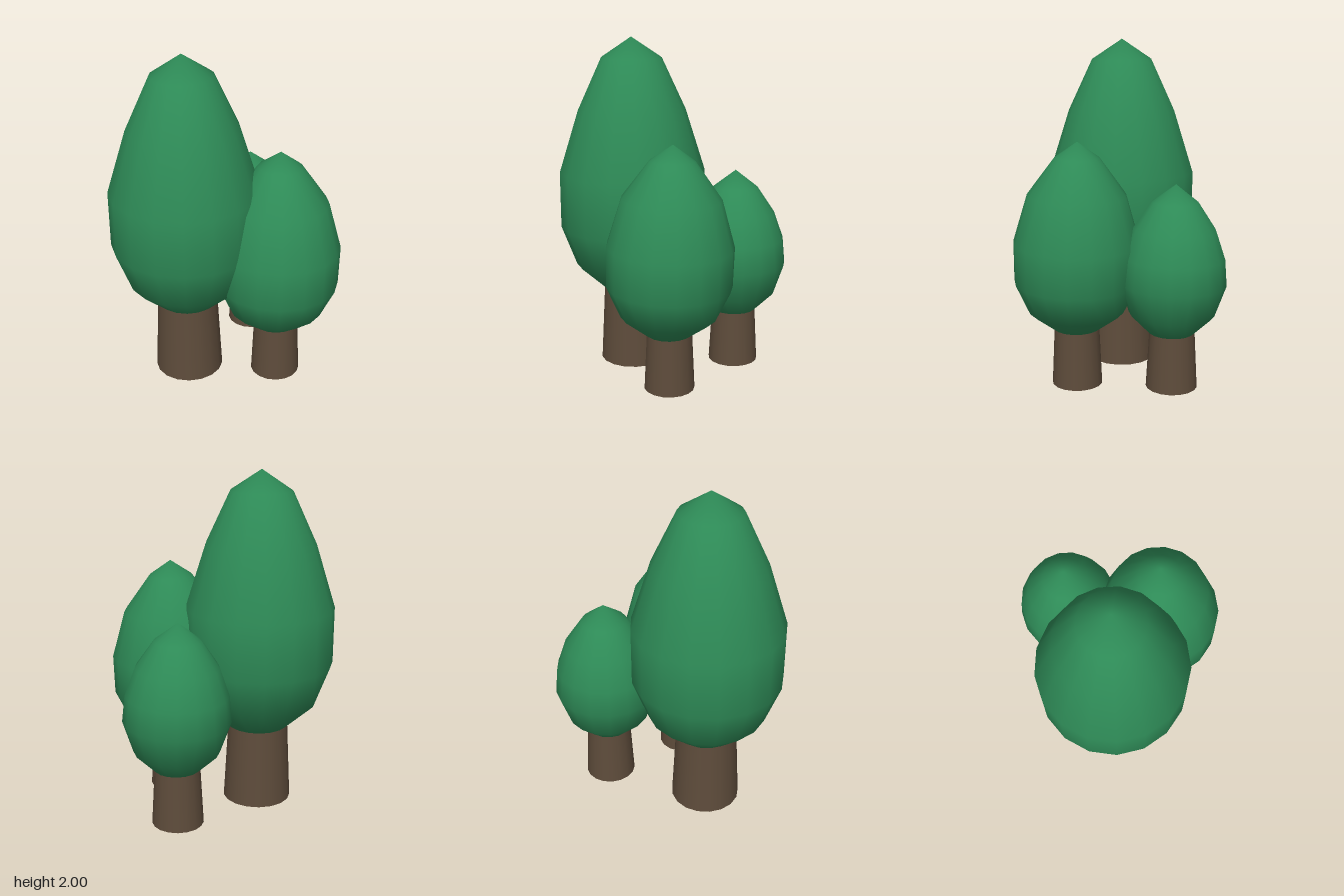
import * as THREE from 'three';

const SIDES = 17;

// Each tree: position, trunk size, crown tilt and crown profile [radius, y] from bottom to top
const TREES = [
  {
    name: 'tallTree', x: -0.25, z: -0.195, base: 0, trunk: [0.205, 0.18], tilt: [0, 0],
    profile: [[0.18, 0.47], [0.348, 0.625], [0.439, 0.87], [0.439, 1.205], [0.322, 1.575], [0.18, 1.88], [0, 2]],
  },
  {
    name: 'frontTree', x: 0.0125, z: 0.271, base: 0.005, trunk: [0.148, 0.132], tilt: [0, -0.025],
    profile: [[0.132, 0.342], [0.28, 0.455], [0.363, 0.635], [0.366, 0.868], [0.285, 1.145], [0.128, 1.36], [0, 1.45]],
  },
  {
    name: 'smallTree', x: 0.376, z: -0.157, base: 0.02, trunk: [0.15, 0.131], tilt: [-0.025, 0],
    profile: [[0.131, 0.353], [0.247, 0.468], [0.308, 0.65], [0.293, 0.805], [0.237, 0.963], [0.132, 1.118], [0, 1.22]],
  },
];

export function createModel() {
  const leafGreen = new THREE.MeshStandardMaterial({ color: 0x2e8b57 });
  leafGreen.name = 'leafGreen';
  const barkBrown = new THREE.MeshStandardMaterial({ color: 0x5e4c3b });
  barkBrown.name = 'barkBrown';

  const model = new THREE.Group();
  model.name = 'treeCluster';

  for (const { name, x, z, base, trunk, tilt, profile } of TREES) {
    const tree = new THREE.Group();
    tree.name = name;
    tree.position.set(x, 0, z);

    // Tapered trunk, reaching just inside the crown
    const top = profile[0][1] + 0.01;
    const trunkMesh = new THREE.Mesh(
      new THREE.CylinderGeometry(trunk[1], trunk[0], top - base, SIDES), barkBrown);
    trunkMesh.name = 'trunk';
    trunkMesh.position.y = (top + base) / 2;
    trunkMesh.rotation.y = Math.PI;

    // Egg-shaped crown, closed underneath and turned about its own middle
    const middle = profile[2][1];
    const points = [[0, profile[0][1]], ...profile].map(([r, y]) => new THREE.Vector2(r, y - middle));
    const crown = new THREE.Mesh(new THREE.LatheGeometry(points, SIDES, Math.PI), leafGreen);
    crown.name = 'crown';
    crown.position.y = middle;
    crown.rotation.set(tilt[0], 0, tilt[1]);

    // Level normals at the lowest ring so the underside does not bend the shading
    const normal = crown.geometry.attributes.normal;
    const rings = points.length;
    const dir = new THREE.Vector2(profile[1][1] - profile[0][1], profile[0][0] - profile[1][0]).normalize();
    for (let i = 0; i <= SIDES; i++) {
      const phi = Math.PI + (i / SIDES) * Math.PI * 2;
      normal.setXYZ(i * rings + 1, Math.sin(phi) * dir.x, dir.y, Math.cos(phi) * dir.x);
      normal.setXYZ(i * rings + rings - 1, 0, 1, 0);
    }

    tree.add(trunkMesh, crown);
    model.add(tree);
  }
  return model;
}
